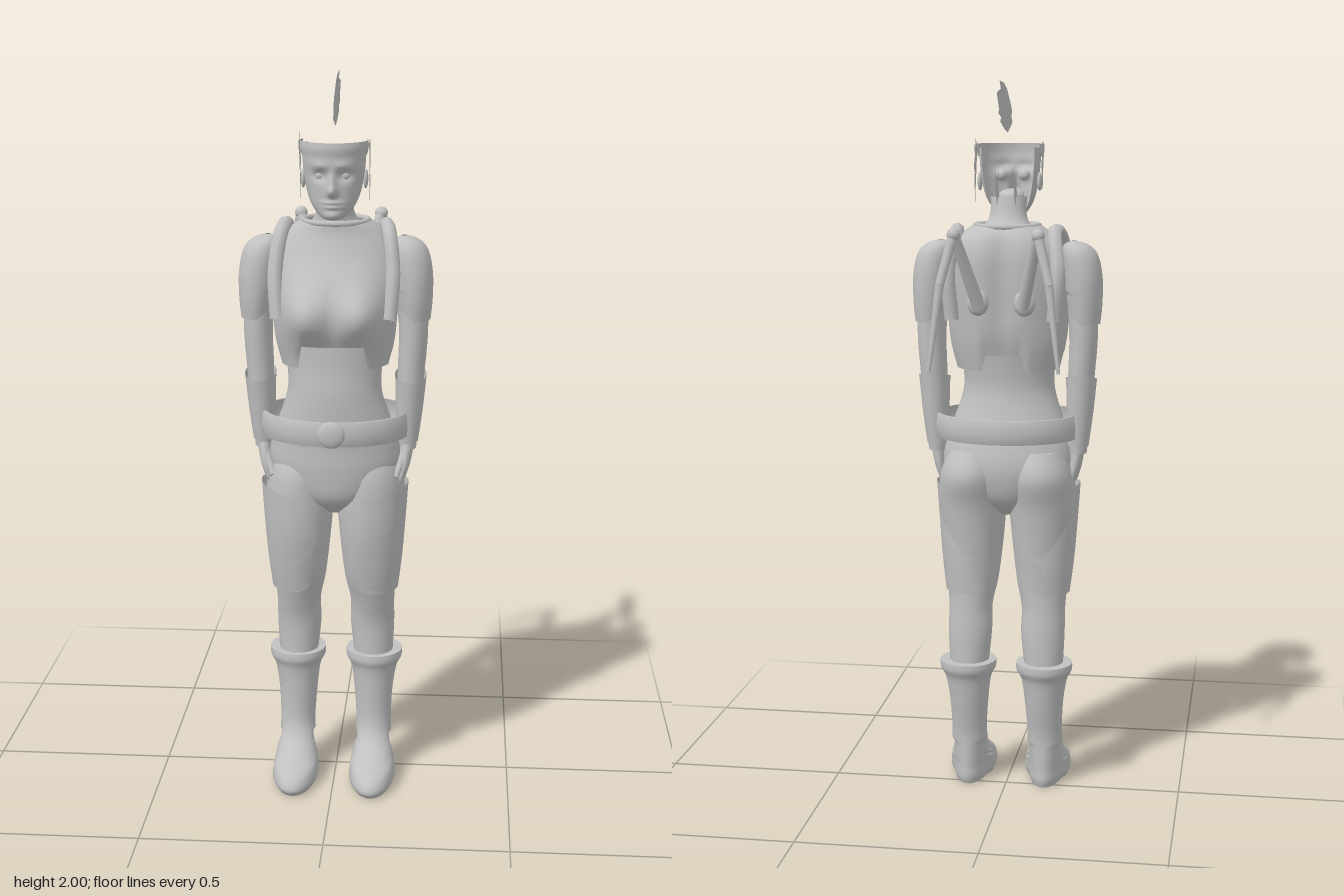
import * as THREE from 'three';

const grey = new THREE.MeshStandardMaterial({ color: 0xc0c0c0, side: THREE.DoubleSide });
grey.name = 'plain grey';

const bump = (d, w) => Math.exp(-(d * d) / (w * w));

// Smooth value between rows of numbers
function spline(rows, u) {
  const i = Math.min(Math.floor(u), rows.length - 2), f = u - i;
  const at = k => rows[Math.max(0, Math.min(rows.length - 1, k))];
  return rows[0].map((_, c) => {
    const [a, b, d, e] = [at(i - 1)[c], at(i)[c], at(i + 1)[c], at(i + 2)[c]];
    return b + 0.5 * f * (d - a + f * (2 * a - 5 * b + 4 * d - e + f * (3 * (b - d) + e - a)));
  });
}

// Linear lookup in a list of [y, value]
function lookup(list, y) {
  for (let i = 1; i < list.length; i++) {
    const [y0, v0] = list[i - 1], [y1, v1] = list[i];
    if (y <= y1) return v0 + (v1 - v0) * Math.max(0, (y - y0) / (y1 - y0));
  }
  return list[list.length - 1][1];
}

// Skin over elliptical rings [y, cx, cz, rx, rz] listed upwards; angle 0 is the front, PI/2 is +x.
// arc(y) gives an open angle range, warp(point, angle) reshapes the skin.
function loft(rings, { n = 32, sub = 5, arc, warp, cap = false } = {}) {
  const pos = [], idx = [], rows = (rings.length - 1) * sub, w = arc ? n + 1 : n;
  const p = new THREE.Vector3();
  for (let r = 0; r <= rows; r++) {
    const [y, cx, cz, rx, rz] = spline(rings, r / sub);
    const [a0, a1] = arc ? arc(y) : [0, Math.PI * 2];
    for (let j = 0; j < w; j++) {
      const t = a0 + (a1 - a0) * j / n;
      p.set(cx + rx * Math.sin(t), y, cz + rz * Math.cos(t));
      if (warp) warp(p, t);
      pos.push(p.x, p.y, p.z);
    }
  }
  for (let r = 0; r < rows; r++) for (let j = 0; j < n; j++) {
    const a = r * w + j, b = r * w + (j + 1) % w;
    idx.push(a, b, a + w, b, b + w, a + w);
  }
  if (cap) {
    const ends = [[0, rings[0]], [rows, rings[rings.length - 1]]];
    ends.forEach(([r, [y, cx, cz]], k) => {
      const c = pos.length / 3;
      pos.push(cx, y, cz);
      // own rim copies keep the cap edge sharp
      for (let j = 0; j < n; j++) pos.push(...pos.slice((r * w + j) * 3, (r * w + j) * 3 + 3));
      for (let j = 0; j < n; j++) {
        const a = c + 1 + j, b = c + 1 + (j + 1) % n;
        k ? idx.push(a, b, c) : idx.push(b, a, c);
      }
    });
  }
  const g = new THREE.BufferGeometry();
  g.setAttribute('position', new THREE.Float32BufferAttribute(pos, 3));
  g.setIndex(idx);
  g.computeVertexNormals();
  return g;
}

// Tapered rod from a to b
function rod(a, b, ra, rb, n = 10) {
  const A = new THREE.Vector3(...a), d = new THREE.Vector3(...b).sub(A), len = d.length();
  const g = new THREE.CylinderGeometry(rb, ra, len, n);
  g.translate(0, len / 2, 0);
  g.applyQuaternion(new THREE.Quaternion().setFromUnitVectors(new THREE.Vector3(0, 1, 0), d.normalize()));
  return g.translate(...a);
}

const ball = (x, y, z, r, sx = 1, sy = 1, sz = 1) =>
  new THREE.SphereGeometry(r, 20, 14).scale(sx, sy, sz).translate(x, y, z);

// Flat plate standing in the z-y plane, points are [z, y]
function plate(points, x) {
  const s = new THREE.Shape(points.map(([z, y]) => new THREE.Vector2(-z, y)));
  return new THREE.ShapeGeometry(s).rotateY(Math.PI / 2).translate(x, 0, 0);
}

function mirrored(geo) {
  const g = geo.clone().scale(-1, 1, 1), ix = g.index.array;
  for (let i = 0; i < ix.length; i += 3) [ix[i], ix[i + 1]] = [ix[i + 1], ix[i]];
  g.computeVertexNormals();
  return g;
}

export function createModel() {
  const model = new THREE.Group();
  model.name = 'armouredFigure';
  const add = (name, geo) => {
    const m = new THREE.Mesh(geo, grey);
    m.name = name;
    model.add(m);
  };
  const pair = (name, geo) => { add(name + 'Left', geo); add(name + 'Right', mirrored(geo)); };

  // Bodysuit
  add('abdomen', loft([
    [0.8, 0, 0.04, 0.03, 0.04], [0.85, 0, 0.04, 0.12, 0.1], [0.93, 0, 0.035, 0.178, 0.12], [1.0, 0, 0.04, 0.178, 0.117],
    [1.07, 0, 0.055, 0.155, 0.108], [1.15, 0, 0.065, 0.13, 0.1], [1.22, 0, 0.06, 0.13, 0.1], [1.32, 0, 0.05, 0.145, 0.11],
  ], { n: 40, cap: true }));
  pair('leg', loft([
    [0.3, 0.11, 0.008, 0.05, 0.06], [0.45, 0.105, 0.01, 0.062, 0.06], [0.53, 0.105, 0.022, 0.062, 0.067],
    [0.61, 0.1, 0.035, 0.073, 0.08], [0.72, 0.098, 0.04, 0.084, 0.098], [0.83, 0.1, 0.035, 0.095, 0.11],
    [0.92, 0.097, 0.02, 0.09, 0.12], [0.99, 0.09, 0.02, 0.07, 0.09],
  ], { cap: true }));

  // Breastplate with a stepped lower edge
  add('breastplate', loft([
    [1.23, 0, 0.052, 0.145, 0.108], [1.3, 0, 0.048, 0.163, 0.122], [1.38, 0, 0.042, 0.17, 0.128], [1.46, 0, 0.03, 0.172, 0.125],
    [1.53, 0, 0.014, 0.165, 0.11], [1.58, 0, 0.01, 0.135, 0.096], [1.61, 0, 0.018, 0.1, 0.084], [1.615, 0, 0.022, 0.085, 0.074],
  ], {
    n: 72, sub: 6, warp: p => {
      const x = Math.abs(p.x);
      if (p.y < 1.35) {
        const low = p.z > 0.05 ? (x < 0.09 ? 1.29 : 1.225) : (x < 0.06 ? 1.26 : 1.215);
        p.y = low + (p.y - 1.23) * (1.35 - low) / 0.12;
      }
      if (p.z > 0.05) p.z += 0.058 * bump(x - 0.08, 0.06) * bump(p.y - 1.375, 0.075) + 0.012 * bump(x, 0.05) * bump(p.y - 1.4, 0.08);
      else p.z += 0.02 * bump(x, 0.035) * bump(p.y - 1.45, 0.2);
    },
  }));
  add('collar', new THREE.TorusGeometry(0.088, 0.008, 8, 40).rotateX(Math.PI / 2).scale(1, 1, 0.9).translate(0, 1.612, 0.022));
  const strap = new THREE.CatmullRomCurve3([[0.15, 1.36, 0.13], [0.158, 1.48, 0.1], [0.145, 1.585, 0.05],
    [0.135, 1.595, -0.01], [0.15, 1.5, -0.07], [0.14, 1.36, -0.07]].map(v => new THREE.Vector3(...v)));
  pair('shoulderStrap', new THREE.TubeGeometry(strap, 32, 0.02, 8));

  // Arms, shoulder guards and bracers
  pair('arm', loft([
    [0.98, 0.2, 0.028, 0.024, 0.03], [1.1, 0.204, 0.028, 0.033, 0.042], [1.2, 0.208, 0.025, 0.037, 0.048],
    [1.32, 0.213, 0.025, 0.04, 0.053], [1.5, 0.205, 0.025, 0.045, 0.055],
  ], { n: 24, cap: true }));
  pair('shoulderGuard', loft([
    [1.345, 0.215, 0.026, 0.044, 0.058], [1.4, 0.214, 0.027, 0.05, 0.066], [1.47, 0.211, 0.026, 0.053, 0.069],
    [1.53, 0.202, 0.024, 0.05, 0.062], [1.56, 0.192, 0.022, 0.035, 0.044], [1.572, 0.185, 0.02, 0.006, 0.01],
  ], { warp: (p, t) => { if (p.y < 1.42) p.y += 0.03 * Math.max(0, -Math.sin(t)); } }));
  pair('bracer', loft([
    [1.0, 0.2, 0.028, 0.029, 0.036], [1.09, 0.204, 0.03, 0.037, 0.047], [1.17, 0.207, 0.031, 0.042, 0.055], [1.19, 0.207, 0.031, 0.044, 0.057],
  ], { n: 24, warp: p => { if (p.y > 1.12) p.y -= 0.25 * (p.z - 0.03) * (p.y - 1.12) / 0.07; } }));

  // Hands
  pair('palm', loft([
    [0.9, 0.183, 0.042, 0.013, 0.038], [0.94, 0.192, 0.038, 0.017, 0.04], [1.0, 0.2, 0.03, 0.02, 0.028],
  ], { n: 20, cap: true }));
  for (let i = 0; i < 4; i++) {
    const z = 0.012 + i * 0.02, drop = i === 0 ? 0.015 : 0;
    pair('finger' + i, rod([0.168, 0.868 + drop, z], [0.184, 0.91, z], 0.007, 0.01, 8));
  }
  pair('thumb', rod([0.17, 0.91, 0.092], [0.192, 0.97, 0.052], 0.008, 0.012, 8));

  // Belt and buckle
  add('belt', loft([[1.022, 0, 0.037, 0.195, 0.153], [1.023, 0, 0.037, 0.204, 0.163], [1.055, 0, 0.037, 0.206, 0.165],
    [1.089, 0, 0.037, 0.204, 0.163], [1.09, 0, 0.037, 0.195, 0.153]], { n: 48, sub: 1 }));
  add('buckle', ball(0, 1.057, 0.2, 0.037, 1, 1, 0.35));

  // Thigh guards wrapping the outside, with ragged edges
  const ragged = [[0.575, 0.02], [0.595, -0.5], [0.63, 0.1], [0.665, 0.1], [0.7, -0.45], [0.755, -0.65], [0.775, -0.1], [0.81, 0.05], [0.86, -0.25]];
  pair('thighGuard', loft([
    [0.575, 0.1, 0.038, 0.078, 0.083], [0.66, 0.1, 0.044, 0.088, 0.096], [0.76, 0.1, 0.05, 0.097, 0.107], [0.86, 0.1, 0.051, 0.105, 0.111],
  ], {
    sub: 9, arc: y => { const e = lookup(ragged, y); return [e, Math.PI - e]; },
    warp: (p, t) => { p.y += 0.03 * Math.max(0, Math.sin(t)) * Math.max(0, (p.y - 0.7) / 0.16); },
  }));

  // Boots
  pair('boot', loft([
    [0, 0.11, 0.1, 0.056, 0.125], [0.02, 0.11, 0.104, 0.065, 0.135], [0.05, 0.11, 0.094, 0.063, 0.124], [0.075, 0.11, 0.062, 0.058, 0.092],
    [0.11, 0.11, 0.034, 0.053, 0.064], [0.16, 0.11, 0.02, 0.05, 0.052], [0.25, 0.109, 0.01, 0.055, 0.061],
    [0.32, 0.11, 0.006, 0.065, 0.07], [0.35, 0.11, 0.004, 0.079, 0.082], [0.372, 0.11, 0.003, 0.08, 0.082],
  ], { n: 36, cap: true, warp: p => { if (p.y < 0.12 && p.z < 0.06) p.x = 0.11 + (p.x - 0.11) * 0.85; } }));

  // Neck and open-backed face
  add('neck', loft([[1.58, 0, 0.02, 0.085, 0.072], [1.61, 0, 0.028, 0.065, 0.056], [1.64, 0, 0.042, 0.051, 0.048],
    [1.69, 0, 0.058, 0.05, 0.05]]));
  add('face', loft([
    [1.628, 0, 0.122, 0.018, 0.022], [1.637, 0, 0.113, 0.036, 0.045], [1.665, 0, 0.1, 0.058, 0.06], [1.7, 0, 0.085, 0.072, 0.076],
    [1.75, 0, 0.08, 0.081, 0.084], [1.8, 0, 0.08, 0.085, 0.089], [1.822, 0, 0.08, 0.085, 0.088],
  ], {
    n: 80, sub: 9, arc: () => [-2.1, 2.1], warp: p => {
      if (p.z < 0.1) return;
      const x = Math.abs(p.x), y = p.y;
      p.z += 0.024 * bump(x, 0.012) * bump(y - 1.705, 0.014) + 0.012 * bump(x, 0.011) * bump(y - 1.73, 0.022)
        - 0.013 * bump(x - 0.032, 0.02) * bump(y - 1.745, 0.014) + 0.006 * bump(x - 0.03, 0.025) * bump(y - 1.772, 0.01)
        + 0.008 * bump(x, 0.024) * bump(y - 1.676, 0.005) + 0.008 * bump(x, 0.022) * bump(y - 1.664, 0.005)
        + 0.006 * bump(x, 0.02) * bump(y - 1.642, 0.012);
    },
  }));
  pair('eye', ball(0.032, 1.745, 0.133, 0.016));
  add('mouthInside', ball(0, 1.685, 0.1, 0.04, 0.95, 0.6, 1.1));
  pair('ear', ball(0.083, 1.73, 0.07, 0.02, 0.35, 1.3, 0.75));

  // Headband, hair locks and feather
  add('headband', loft([[1.797, 0, 0.08, 0.088, 0.094], [1.815, 0, 0.08, 0.091, 0.097], [1.832, 0, 0.08, 0.09, 0.095]],
    { n: 48, arc: () => [-1.9, 1.9] }));
  pair('sideLock', plate([[0.1, 1.82], [0.085, 1.835], [0.07, 1.83], [0.06, 1.853], [0.052, 1.825], [0.035, 1.835], [0.042, 1.8],
    [0.025, 1.77], [0.04, 1.755], [0.03, 1.7], [0.048, 1.72], [0.055, 1.67], [0.062, 1.74], [0.075, 1.79]], 0.093));
  pair('backLock', plate([[0.05, 1.68], [0.02, 1.72], [0.025, 1.76], [-0.005, 1.74], [-0.042, 1.762], [-0.022, 1.7], [0.0, 1.665], [0.03, 1.65]], 0.025));
  add('feather', plate([[0.122, 1.89], [0.1, 1.905], [0.116, 1.92], [0.075, 1.947], [0.016, 1.98], [-0.037, 1.995], [-0.116, 2.0],
    [-0.095, 1.979], [-0.165, 1.968], [-0.127, 1.926], [-0.138, 1.915], [-0.09, 1.905], [-0.106, 1.894], [-0.03, 1.873],
    [0.03, 1.862], [0.085, 1.878]], 0));

  // Folded struts on the back
  pair('strutBase', ball(0.064, 1.41, -0.092, 0.03, 1, 1.2, 0.7));
  pair('upperStrut', rod([0.06, 1.4, -0.1], [0.112, 1.6, -0.188], 0.019, 0.014));
  pair('strutJoint', ball(0.113, 1.6, -0.19, 0.018));
  pair('middleStrut', rod([0.113, 1.6, -0.19], [0.146, 1.47, -0.216], 0.014, 0.012));
  pair('lowerStrut', rod([0.146, 1.47, -0.216], [0.174, 1.24, -0.235], 0.012, 0.005));
  return model;
}
